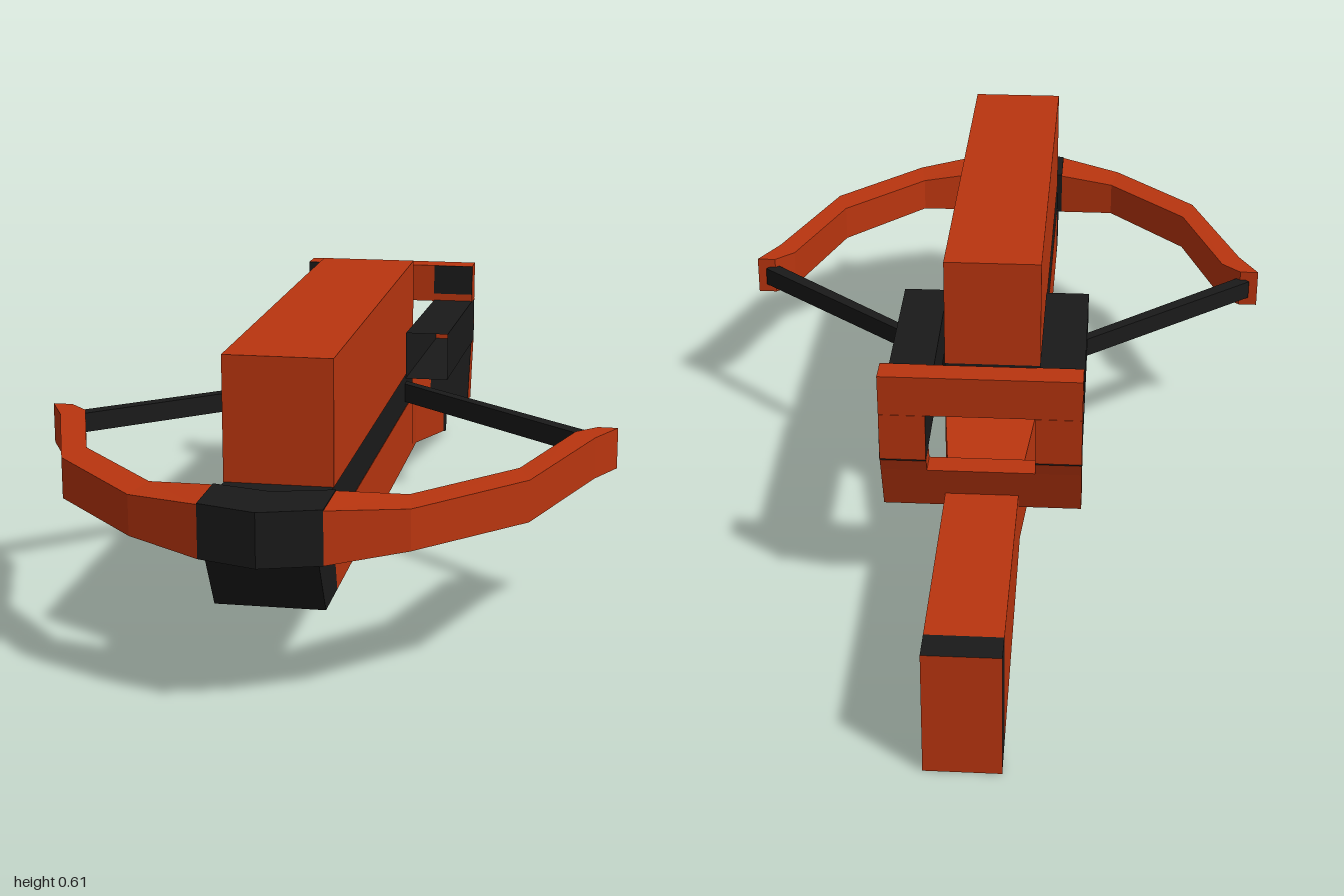
import * as THREE from 'three';

const orange = new THREE.MeshStandardMaterial({ color: 0xb9350f, flatShading: true, side: THREE.DoubleSide });
const black = new THREE.MeshStandardMaterial({ color: 0x1a1a1a, flatShading: true, side: THREE.DoubleSide });

// Skin over convex rings of [x, y, z] corners, flat faces, optional end caps
function loft(rings, capStart = true, capEnd = true) {
  const tris = [];
  const n = rings[0].length;
  for (let r = 0; r < rings.length - 1; r++) {
    for (let i = 0; i < n; i++) {
      const j = (i + 1) % n;
      const a = rings[r][i], b = rings[r][j], c = rings[r + 1][j], d = rings[r + 1][i];
      tris.push([a, b, c], [a, c, d]);
    }
  }
  const last = rings[rings.length - 1];
  for (let i = 1; i < n - 1; i++) {
    if (capStart) tris.push([rings[0][0], rings[0][i + 1], rings[0][i]]);
    if (capEnd) tris.push([last[0], last[i], last[i + 1]]);
  }
  // Turn all faces outward: the enclosed volume must be positive
  const mid = new THREE.Vector3();
  rings.flat().forEach((p) => mid.add(new THREE.Vector3(...p)));
  mid.divideScalar(rings.length * n);
  let volume = 0;
  for (const t of tris) {
    const [a, b, c] = t.map((p) => new THREE.Vector3(...p).sub(mid));
    volume += a.dot(b.cross(c));
  }
  if (volume < 0) tris.forEach((t) => t.reverse());
  const geometry = new THREE.BufferGeometry();
  geometry.setAttribute('position', new THREE.Float32BufferAttribute(tris.flat(2), 3));
  geometry.computeVertexNormals();
  return geometry;
}

// Side profile of [z, y] points stretched from x0 to x1
const prism = (profile, x0, x1) =>
  loft([x0, x1].map((x) => profile.map(([z, y]) => [x, y, z])));

// Rectangular section across the length: z, bottom, top, left and right edge
const section = (z, y0, y1, x0, x1) => [[x0, y0, z], [x1, y0, z], [x1, y1, z], [x0, y1, z]];

// Upright section with a front and a back edge given as [x, z]
const slice = ([fx, fz], [bx, bz], y0, y1) => [[fx, y0, fz], [fx, y1, fz], [bx, y1, bz], [bx, y0, bz]];

export function createModel() {
  const model = new THREE.Group();
  const add = (name, geometry, material, parent = model) => {
    const mesh = new THREE.Mesh(geometry, material);
    mesh.name = name;
    parent.add(mesh);
  };

  // Body, stock and butt
  add('body', prism([[0.82, 0.305], [0.78, 0.18], [-0.16, 0.18], [-0.16, 0.305]], -0.1, 0.1), orange);
  add('stock', loft([
    section(-0.16, 0.18, 0.305, -0.1, 0.1),
    section(-0.42, 0.125, 0.265, -0.072, 0.072),
    section(-0.94, 0.015, 0.256, -0.072, 0.072),
  ]), orange);
  add('buttBand', loft([
    section(-0.94, 0.015, 0.256, -0.072, 0.072),
    section(-1, 0, 0.255, -0.072, 0.072),
  ], true, false), black);
  add('buttPlate', loft([
    section(-0.998, 0.001, 0.255, -0.072, 0.072),
    section(-1, 0, 0.255, -0.072, 0.072),
  ]), orange);

  // Dark rail under the bolt box, and the sloped nose
  add('rail', prism([[0.86, 0.305], [-0.16, 0.305], [-0.16, 0.38], [0.86, 0.38]], -0.099, 0.099), black);
  add('boltBox', prism([[0.81, 0.38], [-0.16, 0.38], [-0.16, 0.612], [0.81, 0.612]], -0.1, 0.1), orange);
  add('nose', prism([[0.965, 0.305], [0.89, 0.18], [0.78, 0.18], [0.82, 0.305]], -0.1, 0.1), black);
  add('bowClamp', loft([
    slice([-0.11, 0.965], [-0.11, 0.845], 0.287, 0.387),
    slice([0, 1], [0, 0.875], 0.287, 0.387),
    slice([0.11, 0.965], [0.11, 0.845], 0.287, 0.387),
  ]), black);

  // Frame of the lever: two crossbars joined by posts
  const lever = new THREE.Group();
  lever.name = 'leverFrame';
  model.add(lever);
  add('topBar', prism([[-0.475, 0.46], [-0.475, 0.545], [-0.528, 0.545], [-0.523, 0.46]], -0.195, 0.195), orange, lever);
  add('lowerBar', prism([[-0.456, 0.33], [-0.417, 0.24], [-0.47, 0.23], [-0.507, 0.33]], -0.195, 0.195), orange, lever);

  // Limb outline from the clamp to the tip: front edge, back edge, bottom, top
  const limb = [
    [[0.11, 0.965], [0.11, 0.845], 0.287, 0.385],
    [[0.25, 0.9], [0.235, 0.815], 0.3, 0.376],
    [[0.435, 0.7], [0.41, 0.625], 0.299, 0.378],
    [[0.535, 0.4], [0.495, 0.36], 0.298, 0.38],
    [[0.575, 0.32], [0.535, 0.32], 0.298, 0.38],
  ];

  for (const s of [1, -1]) {
    const side = s > 0 ? 'left' : 'right';
    const flip = ([x, z]) => [s * x, z];
    add(side + 'Limb', loft(limb.map(([f, b, y0, y1]) => slice(flip(f), flip(b), y0, y1))), orange);

    // String from the limb tip into the rail
    add(side + 'String', loft([
      slice(flip([0.535, 0.335]), flip([0.555, 0.312]), 0.32, 0.36),
      slice(flip([0, -0.135]), flip([0, -0.16]), 0.32, 0.36),
    ]), black);

    // Hollow lever arm, open at the front
    const x0 = s * 0.105, x1 = s * 0.195;
    add(side + 'Arm', loft([
      section(-0.018, 0.38, 0.48, x0, x1),
      section(-0.523, 0.36, 0.46, x0, x1),
    ], false, false), black, lever);

    // Post: back plate, knee above the lower bar, dark front panels
    add(side + 'PostBack', prism([[-0.518, 0.36], [-0.518, 0.46], [-0.524, 0.46], [-0.519, 0.36]], x0, x1), orange, lever);
    add(side + 'PostKnee', prism([[-0.469, 0.36], [-0.456, 0.33], [-0.507, 0.33], [-0.519, 0.36]], x0, x1), orange, lever);
    add(side + 'UpperPanel', prism([[-0.473, 0.478], [-0.473, 0.545], [-0.476, 0.545], [-0.476, 0.478]], x0, x1), black, lever);
    add(side + 'LowerPanel', prism([[-0.467, 0.36], [-0.415, 0.24], [-0.418, 0.239], [-0.47, 0.36]], x0, x1), black, lever);
  }
  return model;
}
